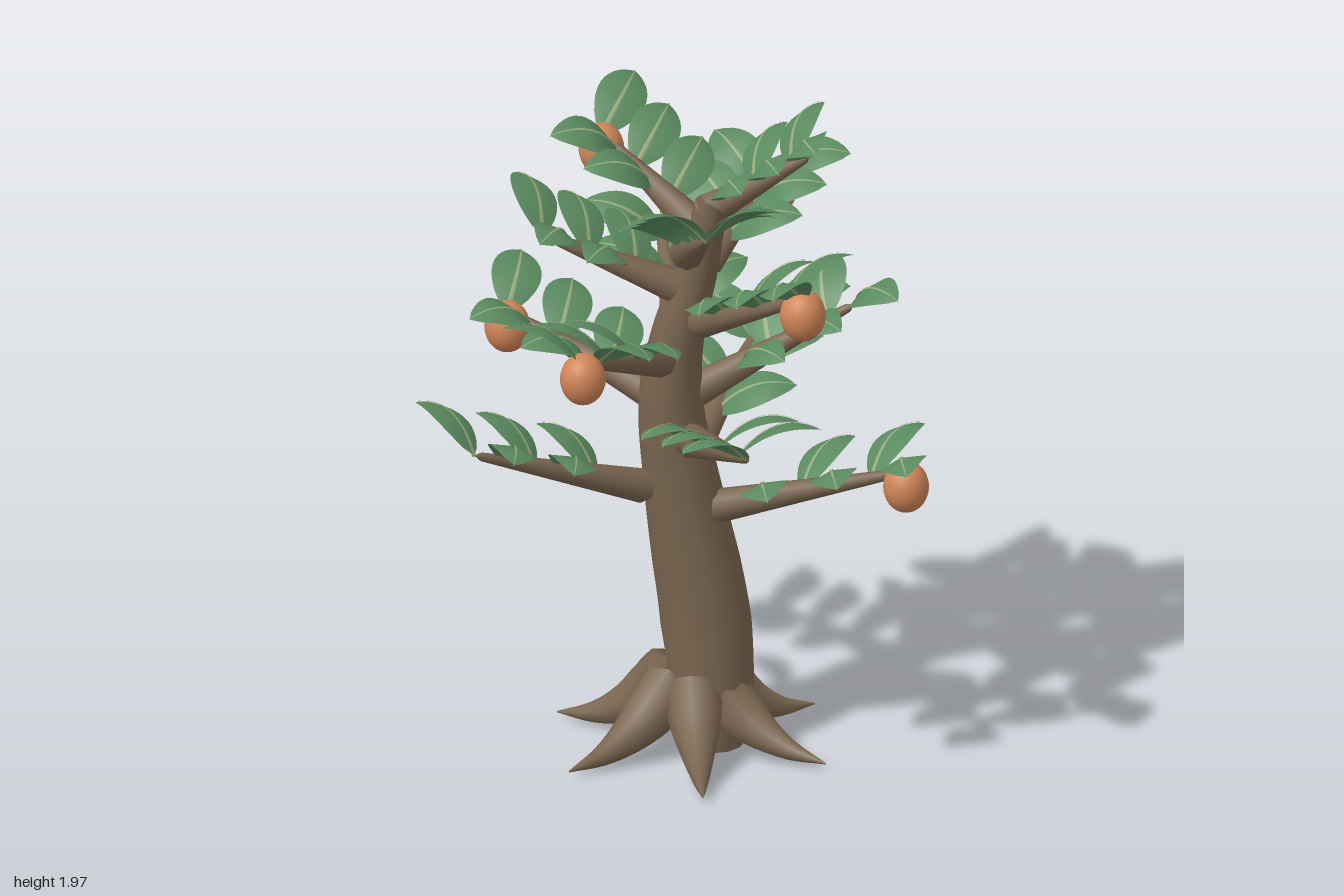
import * as THREE from 'three';

const mat = (name, color, side = THREE.FrontSide) => {
  const m = new THREE.MeshStandardMaterial({ color, side });
  m.name = name;
  return m;
};
const v = (p) => new THREE.Vector3(...p);

// Tube along a smooth path whose radius follows radius(u), u = 0..1
function taperedTube(points, radius, rows, sides) {
  const curve = new THREE.CatmullRomCurve3(points.map(v));
  const geo = new THREE.TubeGeometry(curve, rows, 1, sides, false);
  const pos = geo.attributes.position;
  const p = new THREE.Vector3();
  for (let i = 0; i <= rows; i++) {
    const c = curve.getPointAt(i / rows);
    const r = radius(i / rows);
    for (let j = 0; j <= sides; j++) {
      const k = i * (sides + 1) + j;
      p.fromBufferAttribute(pos, k).sub(c).multiplyScalar(r).add(c);
      pos.setXYZ(k, p.x, p.y, p.z);
    }
  }
  return geo;
}

// Linear lookup in evenly spaced values
const lookup = (list) => (u) => {
  const t = u * (list.length - 1);
  const i = Math.min(Math.floor(t), list.length - 2);
  return THREE.MathUtils.lerp(list[i], list[i + 1], t - i);
};

const LEAF = 0.245;
const FOLD = -0.22;
const arch = (s) => LEAF * (1.08 * s - 0.84 * s * s);

// Arched ribbon along +z, its edges lower than the midrib; half(s) is its half width
function ribbon(half, lift) {
  const rows = 12;
  const pos = [];
  const index = [];
  for (let i = 0; i <= rows; i++) {
    const s = i / rows;
    const w = half(s);
    for (const k of [-1, 0, 1]) pos.push(k * w, arch(s) + lift + Math.abs(k) * w * FOLD, s * LEAF);
    if (i === rows) continue;
    for (const c of [0, 1]) {
      const a = i * 3 + c;
      index.push(a, a + 3, a + 1, a + 1, a + 3, a + 4);
    }
  }
  const geo = new THREE.BufferGeometry();
  geo.setAttribute('position', new THREE.Float32BufferAttribute(pos, 3));
  geo.setIndex(index);
  geo.computeVertexNormals();
  return geo;
}

// start, tip, whether a fruit hangs from the tip
const BRANCHES = [
  [[0.0, 0.76, 0.01], [0.63, 0.97, 0.02], true],
  [[-0.1, 0.83, 0.05], [-0.51, 1.04, 0.45], false],
  [[-0.04, 0.88, -0.03], [0.01, 1.11, -0.6], true],
  [[-0.02, 0.99, 0.04], [0.31, 1.15, 0.47], false],
  [[-0.1, 1.09, 0.01], [-0.59, 1.25, -0.08], true],
  [[-0.04, 1.1, 0.0], [0.38, 1.33, -0.27], false],
  [[-0.07, 1.23, 0.05], [-0.17, 1.39, 0.5], true],
  [[-0.05, 1.25, 0.0], [-0.24, 1.46, -0.39], false],
  [[-0.01, 1.34, 0.02], [0.37, 1.52, 0.16], true],
  [[-0.03, 1.44, 0.02], [-0.41, 1.61, 0.15], false],
  [[0.01, 1.5, -0.01], [0.12, 1.67, -0.33], true],
  [[-0.02, 1.56, 0.04], [0.14, 1.74, 0.33], false],
  [[0.02, 1.61, 0.0], [-0.33, 1.81, -0.14], true],
  [[0.0, 1.66, 0.0], [0.32, 1.87, -0.05], false],
];

export function createModel() {
  const bark = mat('bark', 0x7a6650);
  const green = mat('leafGreen', 0x5a8a5f, THREE.DoubleSide);
  const pale = mat('leafVein', 0x94a877, THREE.DoubleSide);
  const orange = mat('fruitOrange', 0xd08558);

  const tree = new THREE.Group();
  tree.name = 'fruitTree';
  const add = (parent, name, geo, material) => {
    const m = new THREE.Mesh(geo, material);
    m.name = name;
    parent.add(m);
    return m;
  };

  // Trunk: leaning curve, closed at both ends
  const trunkRadius = lookup([0.1, 0.12, 0.13, 0.125, 0.113, 0.1, 0.086, 0.07, 0.058, 0.045]);
  add(tree, 'trunk', taperedTube(
    [[0.03, 0.03, -0.02], [0.04, 0.2, -0.015], [0.02, 0.45, -0.01], [-0.035, 0.8, 0.005],
      [-0.07, 1.1, 0.02], [-0.05, 1.3, 0.015], [0, 1.5, 0], [0.035, 1.66, 0], [0.055, 1.73, 0]],
    (u) => (u === 0 || u === 1 ? 0 : trunkRadius(u)), 80, 14), bark);

  // Roots: six curved spurs around the foot
  const rootRadius = lookup([0.076, 0.084, 0.076, 0.057, 0.038, 0.02, 0.002]);
  const rootGeo = taperedTube(
    [[0.05, 0.27, 0], [0.12, 0.185, 0], [0.2, 0.12, 0], [0.3, 0.073, 0], [0.42, 0.05, 0]],
    (u) => (u === 0 ? 0 : rootRadius(u)), 16, 9);
  for (let i = 0; i < 6; i++) {
    const root = add(tree, 'root', rootGeo, bark);
    root.position.x = -0.015;
    root.rotation.y = -THREE.MathUtils.degToRad(7 + 60 * i);
  }

  // Shared leaf, vein and fruit shapes
  const leafGeo = ribbon((s) => 0.072 * Math.pow(Math.sin(Math.PI * Math.pow(s, 0.9)) + 1e-6, 0.75), 0);
  const veinWidth = (s) => 0.0075 * (1 - 0.85 * s);
  const veinGeos = [0.003, -0.003].map((lift) => ribbon(veinWidth, lift));
  const fruitGeo = new THREE.SphereGeometry(1, 20, 14).scale(0.065, 0.076, 0.065);

  const up = new THREE.Vector3(0, 1, 0);
  for (const [from, to, hasFruit] of BRANCHES) {
    const group = new THREE.Group();
    group.name = 'branch';
    tree.add(group);
    const a = v(from);
    const b = v(to);
    add(group, 'bough', taperedTube([from, to],
      (u) => (0.054 - 0.043 * u) * Math.sqrt(Math.min(1, u / 0.08, (1 - u) / 0.02)), 25, 9), bark);

    // Five leaves alternate from side to side towards the tip
    const along = b.clone().sub(a).normalize();
    const right = along.clone().cross(up).normalize();
    const normal = right.clone().cross(along);
    for (let i = 0; i < 5; i++) {
      const side = i % 2 ? -1 : 1;
      const dir = along.clone().multiplyScalar(0.42).addScaledVector(right, 0.9 * side).normalize();
      const leaf = new THREE.Group();
      leaf.name = 'leaf';
      leaf.setRotationFromMatrix(new THREE.Matrix4().makeBasis(normal.clone().cross(dir), normal, dir));
      leaf.position.lerpVectors(a, b, 1 - i * 0.165);
      add(leaf, 'blade', leafGeo, green);
      veinGeos.forEach((g) => add(leaf, 'vein', g, pale));
      group.add(leaf);
    }

    // Fruit hanging at the tip
    if (hasFruit) add(group, 'fruit', fruitGeo, orange).position.set(b.x, b.y - 0.045, b.z);
  }
  return tree;
}
